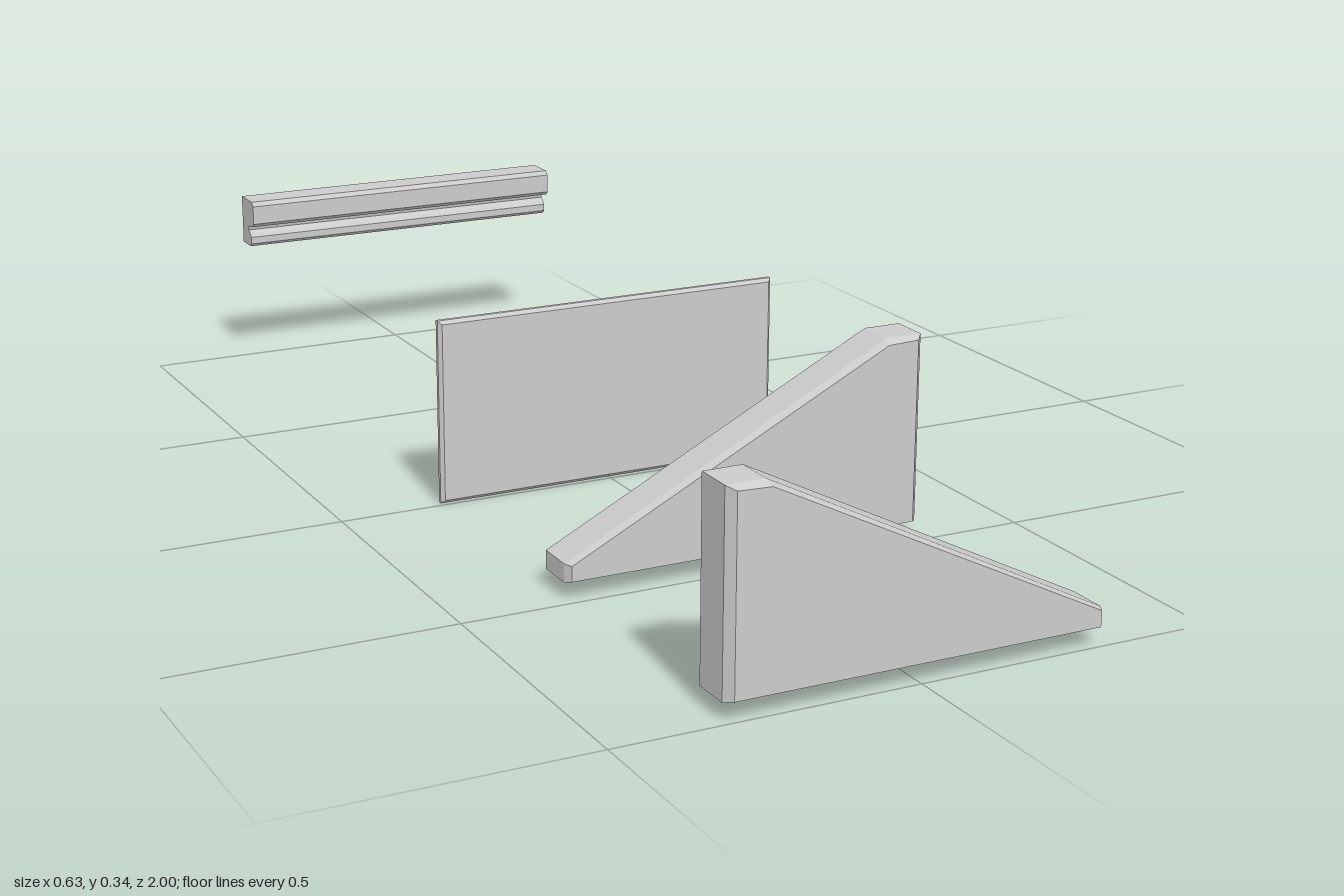
import * as THREE from 'three';

const material = new THREE.MeshStandardMaterial({ color: 0xcccccc, side: THREE.DoubleSide });

// Open-backed shell: rings of [outline, z] from front to back, closed by a face on the first ring
function shell(name, rings, mirror = false) {
  const loops = rings.map(([outline, z]) => {
    const pts = outline.map(([x, y]) => [mirror ? -x : x, y, z]);
    return mirror ? pts.reverse() : pts;
  });
  const positions = [];
  const tri = (...points) => points.forEach((p) => positions.push(...p));

  const front = loops[0];
  for (let i = 1; i < front.length - 1; i++) tri(front[0], front[i], front[i + 1]);

  for (let r = 0; r < loops.length - 1; r++) {
    const a = loops[r], b = loops[r + 1], n = a.length;
    for (let i = 0; i < n; i++) {
      const j = (i + 1) % n;
      tri(a[i], b[i], b[j]);
      tri(a[i], b[j], a[j]);
    }
  }
  const geometry = new THREE.BufferGeometry();
  geometry.setAttribute('position', new THREE.Float32BufferAttribute(positions, 3));
  geometry.computeVertexNormals();
  const mesh = new THREE.Mesh(geometry, material);
  mesh.name = name;
  return mesh;
}

const rectangle = (x, y0, y1) => [[-x, y0], [x, y0], [x, y1], [-x, y1]];

// Sloped panel outline and its smaller front face
const wedgeOuter = [[-0.317, 0.027], [0.317, 0.027], [0.317, 0.058], [-0.253, 0.345], [-0.317, 0.345]];
const wedgeInner = [[-0.305, 0.031], [0.31, 0.031], [0.31, 0.057], [-0.25, 0.337], [-0.305, 0.339]];

function wedge(name, z, mirror) {
  return shell(name, [[wedgeInner, z], [wedgeOuter, z - 0.014], [wedgeOuter, z - 0.08]], mirror);
}

// Moulded rail: cross-section (z, y) extruded along x
function rail() {
  const profile = [
    [-1, 0.233], [-0.958, 0.233], [-0.952, 0.239], [-0.952, 0.252], [-0.958, 0.259],
    [-0.966, 0.264], [-0.964, 0.273], [-0.942, 0.275], [-0.935, 0.282],
    [-0.935, 0.317], [-0.942, 0.325], [-1, 0.325],
  ];
  const shape = new THREE.Shape(profile.map(([z, y]) => new THREE.Vector2(-z, y)));
  const geometry = new THREE.ExtrudeGeometry(shape, { depth: 0.634, bevelEnabled: false });
  geometry.translate(0, 0, -0.317);
  geometry.rotateY(Math.PI / 2); // shape x becomes -z, depth becomes x
  const mesh = new THREE.Mesh(geometry, material);
  mesh.name = 'rearRail';
  return mesh;
}

export function createModel() {
  const group = new THREE.Group();
  group.name = 'explodedPanels';
  group.add(
    wedge('frontWedgePanel', 1, false),
    wedge('secondWedgePanel', 0.492, true),
    // Shallow tray panel with bevelled rim
    shell('backPanel', [
      [rectangle(0.311, 0.006, 0.315), -0.004],
      [rectangle(0.317, 0, 0.321), -0.01],
      [rectangle(0.317, 0, 0.321), -0.017],
    ]),
    rail(),
  );
  return group;
}
